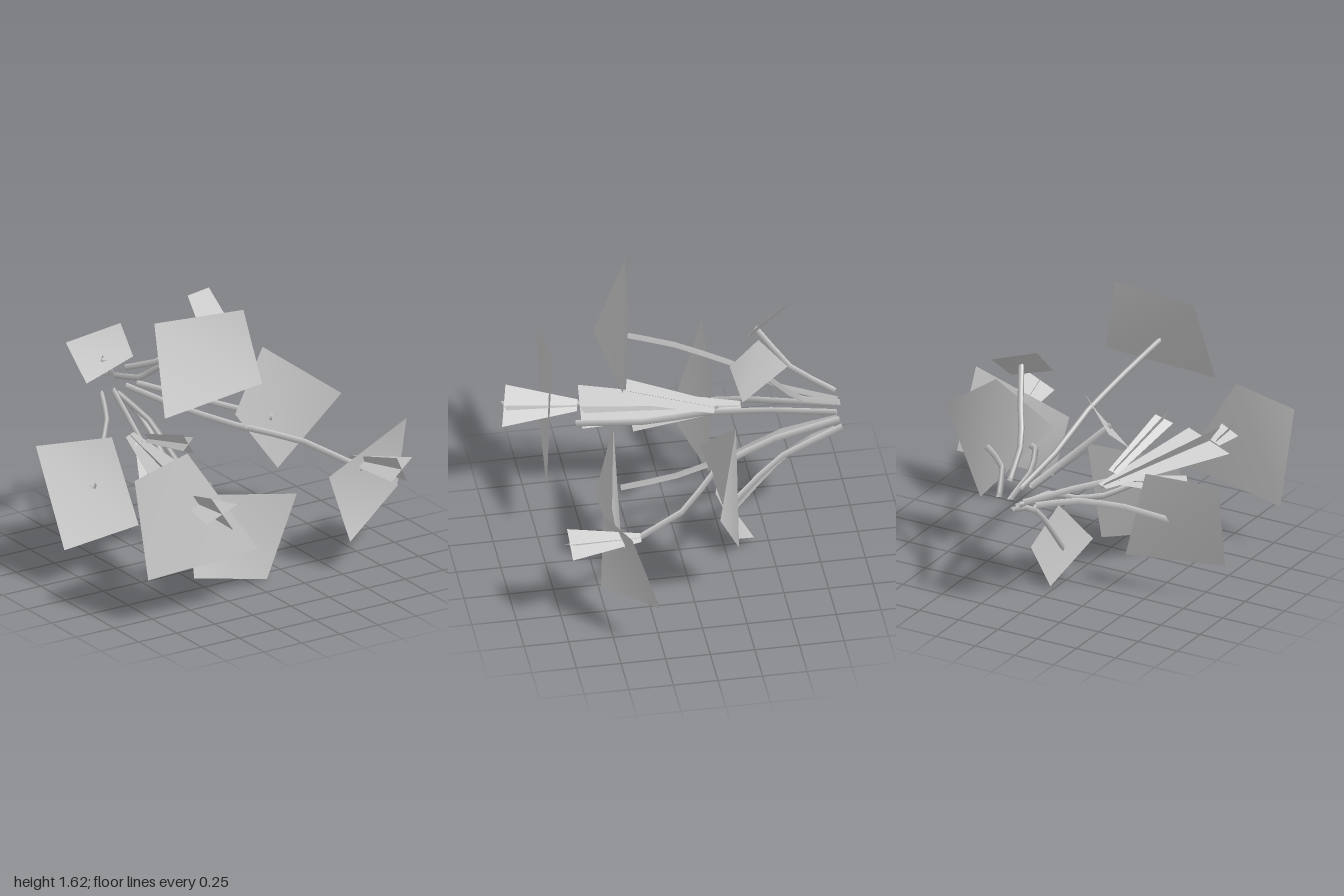
import * as THREE from 'three';

const grey = new THREE.MeshStandardMaterial({ color: 0xcccccc, side: THREE.DoubleSide });

// Four-cornered sheet, creased along the diagonal from corner 0 to corner 2
function sheet(name, corners) {
  const g = new THREE.BufferGeometry();
  g.setAttribute('position', new THREE.Float32BufferAttribute(corners.flat(), 3));
  g.setIndex([0, 2, 1, 0, 3, 2]);
  g.computeVertexNormals();
  const mesh = new THREE.Mesh(g, grey);
  mesh.name = name;
  return mesh;
}

// Thin kinked stem running through the given points
function stem(name, points) {
  const path = new THREE.CurvePath();
  const v = points.map(p => new THREE.Vector3(...p));
  for (let i = 1; i < v.length; i++) path.add(new THREE.LineCurve3(v[i - 1], v[i]));
  const curve = new THREE.CatmullRomCurve3(v, false, 'catmullrom', 0.2);
  const mesh = new THREE.Mesh(new THREE.TubeGeometry(curve, (v.length - 1) * 2, 0.02, 3), grey);
  mesh.name = name;
  return mesh;
}

// Two crossed blades flaring from a narrow base to a wide tip
function bud(name, base, tip, spans, taper = 0.28) {
  const group = new THREE.Group();
  group.name = name;
  const offset = (p, s, k) => p.map((c, i) => c + s[i] * k);
  for (const s of spans) {
    group.add(sheet('blade', [
      offset(base, s, -taper), offset(tip, s, -1), offset(tip, s, 1), offset(base, s, taper),
    ]));
  }
  return group;
}

export function createModel() {
  const model = new THREE.Group();
  model.name = 'flowerSpray';

  // Petal sheets, each with the stem that carries it
  const flowers = {
    top: {
      petal: [[-0.55, 1.62, 0.21], [-0.01, 1.61, 0.28], [0.08, 1.17, 0.33], [-0.59, 1.12, 0.38]],
      stem: [[-0.09, 0.85, -0.9], [-0.13, 0.95, -0.58], [-0.18, 1.11, -0.31], [-0.24, 1.23, 0], [-0.28, 1.31, 0.3]],
    },
    frontRight: {
      petal: [[-0.59, 0.99, 0.61], [-0.19, 0.37, 0.71], [-0.86, 0.3, 0.63], [-0.95, 0.91, 0.63]],
      stem: [[-0.1, 0.76, -0.9], [-0.22, 0.73, -0.55], [-0.33, 0.68, -0.2], [-0.38, 0.62, 0.1], [-0.46, 0.6, 0.5]],
    },
    frontLeft: {
      petal: [[0.41, 0.6, 0.5], [0.965, 0.81, 0.43], [1, 0.35, 0.28], [0.53, 0.2, 0.53]],
      stem: [[-0.02, 0.77, -0.9], [0.08, 0.75, -0.5], [0.24, 0.72, -0.17], [0.51, 0.65, 0.06], [0.68, 0.57, 0.43]],
    },
    bottom: {
      petal: [[-0.4, 0.6, 0.3], [0.25, 0.51, 0.42], [0.11, 0.005, 0.335], [-0.41, 0.14, 0.4]],
      stem: [[-0.07, 0.74, -0.9], [-0.07, 0.68, -0.57], [-0.08, 0.54, -0.29], [-0.09, 0.435, 0.02], [-0.1, 0.39, 0.31]],
    },
    backRight: {
      petal: [[-1, 0.82, -0.3], [-0.52, 0.78, -0.27], [-0.37, 0.24, -0.23], [-0.935, 0.25, -0.11]],
      stem: [[-0.18, 0.76, -0.9], [-0.3, 0.72, -0.66], [-0.47, 0.64, -0.45], [-0.66, 0.52, -0.25]],
    },
    backLeft: {
      petal: [[0.45, 1.12, -0.24], [0.865, 0.81, -0.08], [0.55, 0.38, -0.24], [0.17, 0.83, -0.085]],
      stem: [[0.05, 0.77, -0.9], [0.26, 0.75, -0.5], [0.51, 0.69, -0.23]],
    },
    smallLeft: {
      petal: [[0.08, 1.44, -0.43], [0.3, 1.4, -0.555], [0.32, 1.2, -0.3], [0.07, 1.27, -0.27]],
      stem: [[-0.02, 0.88, -0.9], [0.05, 0.99, -0.65], [0.13, 1.16, -0.52], [0.2, 1.325, -0.39]],
    },
    smallRight: {
      petal: [[-0.54, 1.2, -0.71], [-0.29, 1.32, -0.54], [-0.29, 1.165, -0.41], [-0.545, 1.03, -0.49]],
      stem: [[-0.15, 0.87, -0.9], [-0.26, 0.98, -0.67], [-0.43, 1.15, -0.5]],
    },
    smallBottom: {
      petal: [[0.195, 0.18, -0.3], [0.08, 0.42, -0.19], [-0.165, 0.29, -0.235], [0, 0.035, -0.42]],
      stem: [[-0.03, 0.7, -0.88], [-0.03, 0.63, -0.69], [-0.02, 0.49, -0.53], [0, 0.21, -0.28]],
    },
  };
  for (const [name, f] of Object.entries(flowers)) {
    const flower = new THREE.Group();
    flower.name = name + 'Flower';
    flower.add(sheet('petal', f.petal), stem('stem', f.stem));
    model.add(flower);
  }

  // Flared buds in front of the flowers and along the right-hand stem
  model.add(
    bud('frontRightBud', [-0.53, 0.67, 0.48], [-0.54, 0.71, 0.89],
      [[0.1, 0.04, 0], [0.06, -0.1, 0.02]]),
    bud('frontLeftBud', [0.66, 0.6, 0.33], [0.735, 0.655, 0.74],
      [[0.08, 0.05, -0.02], [0.04, -0.08, -0.01]]),
    bud('longBud', [-0.32, 0.71, -0.4], [-0.5, 0.68, 0.47],
      [[0.13, 0.05, 0], [0.07, -0.1, 0]], 0.2),
    bud('upperBud', [-0.3, 0.73, -0.25], [-0.345, 0.87, 0.24],
      [[0.045, 0.025, -0.02], [0.03, -0.06, 0.01]], 0.5),
    bud('lowerBud', [-0.33, 0.7, -0.28], [-0.53, 0.53, 0.18],
      [[0.08, -0.02, 0], [0.02, 0.05, 0.02]], 0.4),
  );
  return model;
}
